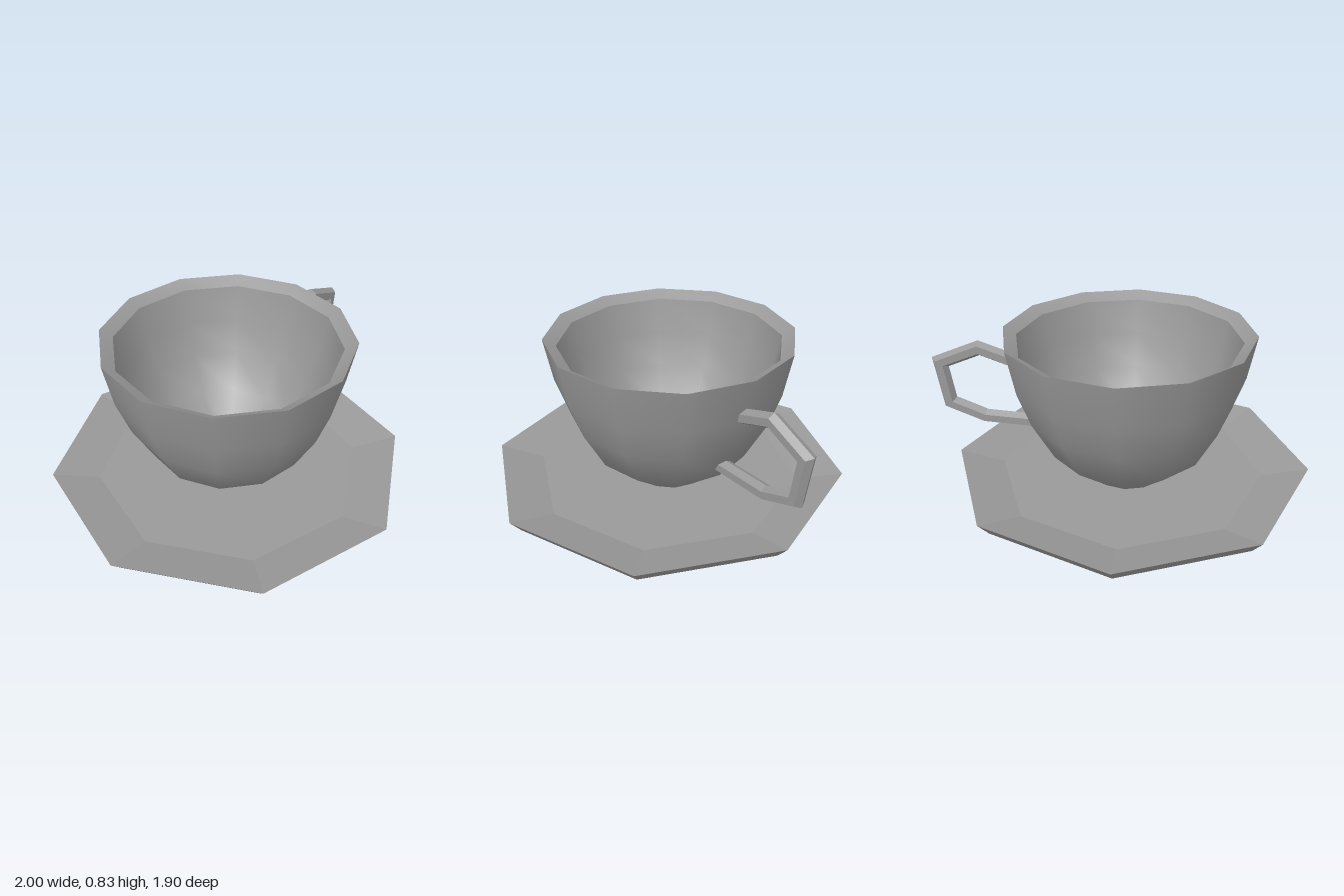
import * as THREE from 'three';
import { toCreasedNormals } from 'three/addons/utils/BufferGeometryUtils.js';

const COLOR = 0x999999;

const lathe = (points, sides) =>
  new THREE.LatheGeometry(points.map(([r, y]) => new THREE.Vector2(r, y)), sides);

// Sweeps a hexagon along a path in the xy plane, with mitred corners.
function hexSweep(path, radius) {
  const pts = path.map(([x, y]) => new THREE.Vector2(x, y));
  const dirs = pts.slice(1).map((p, i) => p.clone().sub(pts[i]).normalize());
  const pos = [], index = [];
  pts.forEach((p, i) => {
    const a = dirs[Math.max(i - 1, 0)], b = dirs[Math.min(i, dirs.length - 1)];
    const t = a.clone().add(b).normalize();
    const miter = radius / t.dot(a);
    for (let j = 0; j < 6; j++) {
      const ang = j * Math.PI / 3;
      const n = Math.cos(ang) * miter;
      pos.push(p.x - t.y * n, p.y + t.x * n, Math.sin(ang) * radius);
    }
  });
  for (let i = 0; i < pts.length - 1; i++) {
    for (let j = 0; j < 6; j++) {
      const a = i * 6 + j, b = i * 6 + (j + 1) % 6;
      index.push(a, b, b + 6, a, b + 6, a + 6);
    }
  }
  // End caps
  const last = (pts.length - 1) * 6;
  for (let j = 1; j < 5; j++) index.push(0, j + 1, j, last, last + j, last + j + 1);
  const g = new THREE.BufferGeometry();
  g.setAttribute('position', new THREE.Float32BufferAttribute(pos, 3));
  g.setIndex(index);
  g.computeVertexNormals();
  return g;
}

export function createModel() {
  const group = new THREE.Group();
  const smooth = new THREE.MeshStandardMaterial({ color: COLOR, side: THREE.DoubleSide });
  const flat = new THREE.MeshStandardMaterial({ color: COLOR, side: THREE.DoubleSide, flatShading: true });
  const add = (name, geometry, material, x = 0, z = 0) => {
    const mesh = new THREE.Mesh(geometry, material);
    mesh.name = name;
    mesh.position.set(x, 0, z);
    group.add(mesh);
  };

  // Thin octagonal saucer, open underneath: faceted dish and smooth bevelled rim
  add('saucerDish', lathe([[0.951, 0.074], [0.71, 0.02], [0, 0.02]], 8), flat, -0.049);
  add('saucerRim', lathe([[0.891, 0], [0.951, 0.074]], 8), smooth, -0.049);

  // Twelve-sided cup: outer wall, sloped rim, inner wall and floor
  const cup = lathe([
    [0, 0.02], [0.195, 0.02], [0.255, 0.07], [0.417, 0.2], [0.53, 0.41], [0.597, 0.6], [0.641, 0.83],
    [0.575, 0.792], [0.535, 0.61], [0.47, 0.43], [0.36, 0.23], [0.178, 0.085], [0, 0.085],
  ], 12);
  add('cup', toCreasedNormals(cup, 0.6), smooth, -0.036, -0.016);

  // Angular handle
  add('handle', hexSweep([
    [0.525, 0.622], [0.747, 0.7], [0.96, 0.612], [0.925, 0.38], [0.737, 0.305], [0.39, 0.285],
  ], 0.039), flat);

  return group;
}
